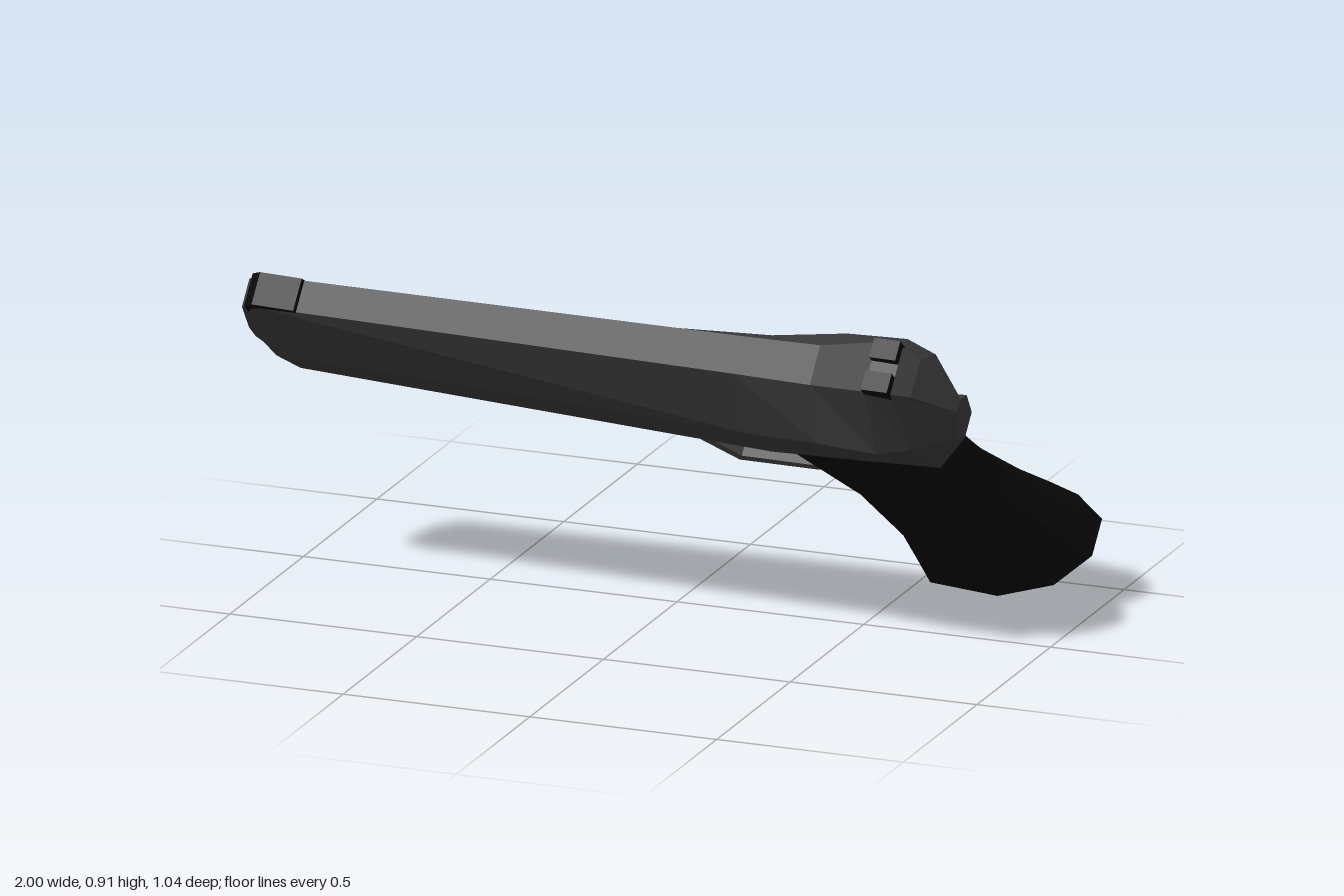
import * as THREE from 'three';

const material = (name, color) => {
  const m = new THREE.MeshStandardMaterial({ color, flatShading: true });
  m.name = name;
  return m;
};

// Skin closed rings of [x, y, z] points, with fan caps at both ends
function loft(rings) {
  const n = rings[0].length, pos = [];
  const tri = (...pts) => pts.forEach((p) => pos.push(...p));
  for (let i = 0; i < rings.length - 1; i++) {
    for (let j = 0; j < n; j++) {
      const k = (j + 1) % n;
      const a = rings[i][j], b = rings[i][k], c = rings[i + 1][k], d = rings[i + 1][j];
      tri(a, b, c);
      tri(a, c, d);
    }
  }
  const first = rings[0], last = rings[rings.length - 1];
  // Caps are strips between mirrored points, so they stay symmetrical
  for (let j = 0; j < n / 2 - 1; j++) {
    const p = n - 1 - j, q = n - 2 - j;
    tri(first[j], first[q], first[j + 1]);
    tri(first[j], first[p], first[q]);
    tri(last[j], last[j + 1], last[q]);
    tri(last[j], last[q], last[p]);
  }
  const g = new THREE.BufferGeometry();
  g.setAttribute('position', new THREE.Float32BufferAttribute(pos, 3));
  g.computeVertexNormals();
  return g;
}

// Side profile extruded evenly about the centre plane
function plate(points, width) {
  const shape = new THREE.Shape(points.map(([x, y]) => new THREE.Vector2(x, y)));
  return new THREE.ExtrudeGeometry(shape, { depth: width, bevelEnabled: false })
    .translate(0, 0, -width / 2);
}

// Complete a half ring with its mirror image
const mirrorRing = (half) => [
  ...half,
  ...half.slice().reverse().map(([x, y, z]) => [x, y, -z]),
];

export function createModel() {
  const steel = material('dark steel', 0x3c3c3c);
  const black = material('matte black', 0x090909);
  const grey = material('trigger grey', 0x484848);

  const body = new THREE.Group();
  body.name = 'tiltedBody';
  const add = (name, geometry, mat) => {
    const mesh = new THREE.Mesh(geometry, mat);
    mesh.name = name;
    body.add(mesh);
    return mesh;
  };

  // Slide: each station has top, side, lower bevel and bottom as [x, y, half width]
  const stations = [
    [[-1, 0.82, 0.038], [-1, 0.74, 0.06], [-1, 0.68, 0.06], [-1, 0.65, 0.045]],
    [[-0.97, 0.845, 0.042], [-0.96, 0.61, 0.078], [-0.93, 0.51, 0.066], [-0.92, 0.475, 0.05]],
    [[0.33, 0.852, 0.051], [0.33, 0.66, 0.133], [0.33, 0.46, 0.1], [0.33, 0.42, 0.085]],
    [[0.54, 0.854, 0.054], [0.54, 0.70, 0.15], [0.56, 0.49, 0.102], [0.57, 0.455, 0.09]],
    [[0.70, 0.895, 0.067], [0.70, 0.70, 0.157], [0.70, 0.51, 0.103], [0.70, 0.47, 0.09]],
    [[0.77, 0.89, 0.064], [0.78, 0.69, 0.13], [0.785, 0.51, 0.098], [0.785, 0.475, 0.088]],
    [[0.81, 0.855, 0.052], [0.88, 0.70, 0.018], [0.86, 0.62, 0.06], [0.865, 0.57, 0.035]],
  ];
  add('slide', loft(stations.map(mirrorRing)), steel);

  // Grip: rings of front point, rear point, half width and sag of the middle
  const gripRings = [
    [0.33, 0.435, 0.78, 0.49, 0.088, 0],
    [0.45, 0.19, 0.84, 0.19, 0.091, 0],
    [0.50, -0.04, 0.895, 0.07, 0.104, 0],
    [0.505, -0.17, 0.95, -0.04, 0.126, 0.015],
    [0.505, -0.26, 1.0, -0.12, 0.14, 0.06],
    [0.525, -0.287, 0.965, -0.165, 0.11, 0.04],
  ].map(([fx, fy, rx, ry, w, sag]) => mirrorRing(
    // position along the ring, share of the half width, share of the sag
    [[1, 0.36, 0], [0.8, 0.88, 0.35], [0.45, 1, 1], [0.08, 0.92, 0.1], [0, 0.55, 0]]
      .map(([t, k, s]) => [
        fx + (rx - fx) * t, fy + (ry - fy) * t - sag * s, w * k,
      ])));
  add('grip', loft(gripRings), black);

  // Trigger guard and trigger
  add('triggerGuard', plate([
    [0.055, 0.45], [0.062, 0.28], [0.135, 0.168], [0.35, 0.172], [0.46, 0.23],
    [0.45, 0.275], [0.34, 0.2], [0.15, 0.198], [0.092, 0.288], [0.085, 0.45],
  ], 0.054), grey);
  add('trigger', plate([
    [0.255, 0.45], [0.265, 0.36], [0.25, 0.30], [0.228, 0.26],
    [0.25, 0.24], [0.283, 0.28], [0.303, 0.35], [0.315, 0.45],
  ], 0.04), grey);

  // Front sight wraps the top of the muzzle
  add('frontSight', plate([
    [-0.985, 0.80], [-0.86, 0.80], [-0.84, 0.83], [-0.85, 0.856], [-0.96, 0.862], [-0.985, 0.845],
  ], 0.088), black);

  // Muzzle opening
  const bore = add('bore', new THREE.CylinderGeometry(0.027, 0.027, 0.008, 10), black);
  bore.rotation.z = Math.PI / 2;
  bore.position.set(-0.999, 0.74, 0);

  // Pair of rear sight posts
  for (const side of [-1, 1]) {
    const post = add(side > 0 ? 'leftRearSight' : 'rightRearSight',
      new THREE.BoxGeometry(0.07, 0.05, 0.053), black);
    post.position.set(0.735, 0.892, side * 0.044);
  }

  // Lean the body forward and turn it very slightly
  body.rotation.set(0.885, -0.014, 0);
  body.position.set(0, 0.281, -0.233);

  const model = new THREE.Group();
  model.name = 'pistol';
  model.add(body);
  return model;
}
